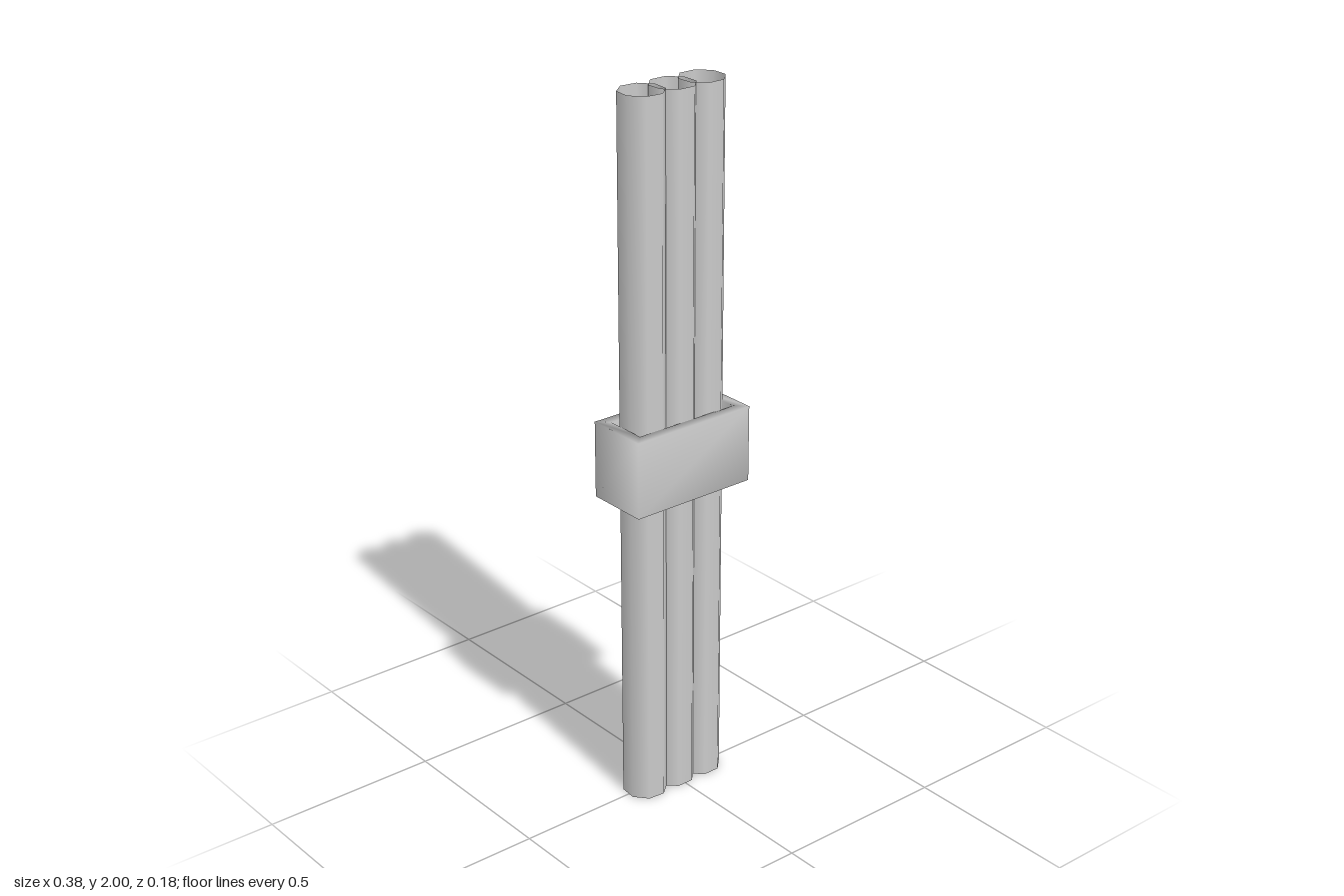
import * as THREE from 'three';

const material = new THREE.MeshStandardMaterial({ color: 0xcccccc, side: THREE.DoubleSide });

// Rectangular ring with shared corners, so the shading rolls softly over its edges
function bandGeometry(halfX, halfZ, wall, y0, y1) {
  const profile = [[0, y0], [0, y1], [wall, y1], [wall, y0]]; // inset, height
  const corners = [[1, 1], [1, -1], [-1, -1], [-1, 1]];
  const positions = [], indices = [];
  corners.forEach(([sx, sz], i) => {
    profile.forEach(([inset, y], j) => {
      positions.push(sx * (halfX - inset), y, sz * (halfZ - inset));
      const i2 = (i + 1) % 4, j2 = (j + 1) % 4;
      const a = i * 4 + j, b = i2 * 4 + j, c = i2 * 4 + j2, d = i * 4 + j2;
      indices.push(a, b, c, a, c, d);
    });
  });
  const geometry = new THREE.BufferGeometry();
  geometry.setAttribute('position', new THREE.Float32BufferAttribute(positions, 3));
  geometry.setIndex(indices);
  geometry.computeVertexNormals();
  return geometry;
}

export function createModel() {
  const group = new THREE.Group();
  group.name = 'bundledTubes';

  // Three open eight-sided tubes side by side
  const tubes = [
    ['rightTube', -0.099, -0.09],
    ['middleTube', -0.001, 0],
    ['leftTube', 0.094, 0],
  ];
  for (const [name, x, turn] of tubes) {
    const geometry = new THREE.CylinderGeometry(0.062, 0.062, 2, 8, 1, true);
    geometry.rotateY(Math.PI / 8 + turn);
    const tube = new THREE.Mesh(geometry, material);
    tube.name = name;
    tube.position.set(x, 1, 0);
    group.add(tube);
  }

  // Band holding the tubes together
  const band = new THREE.Mesh(bandGeometry(0.188, 0.09, 0.031, 0.895, 1.11), material);
  band.name = 'band';
  group.add(band);

  return group;
}
